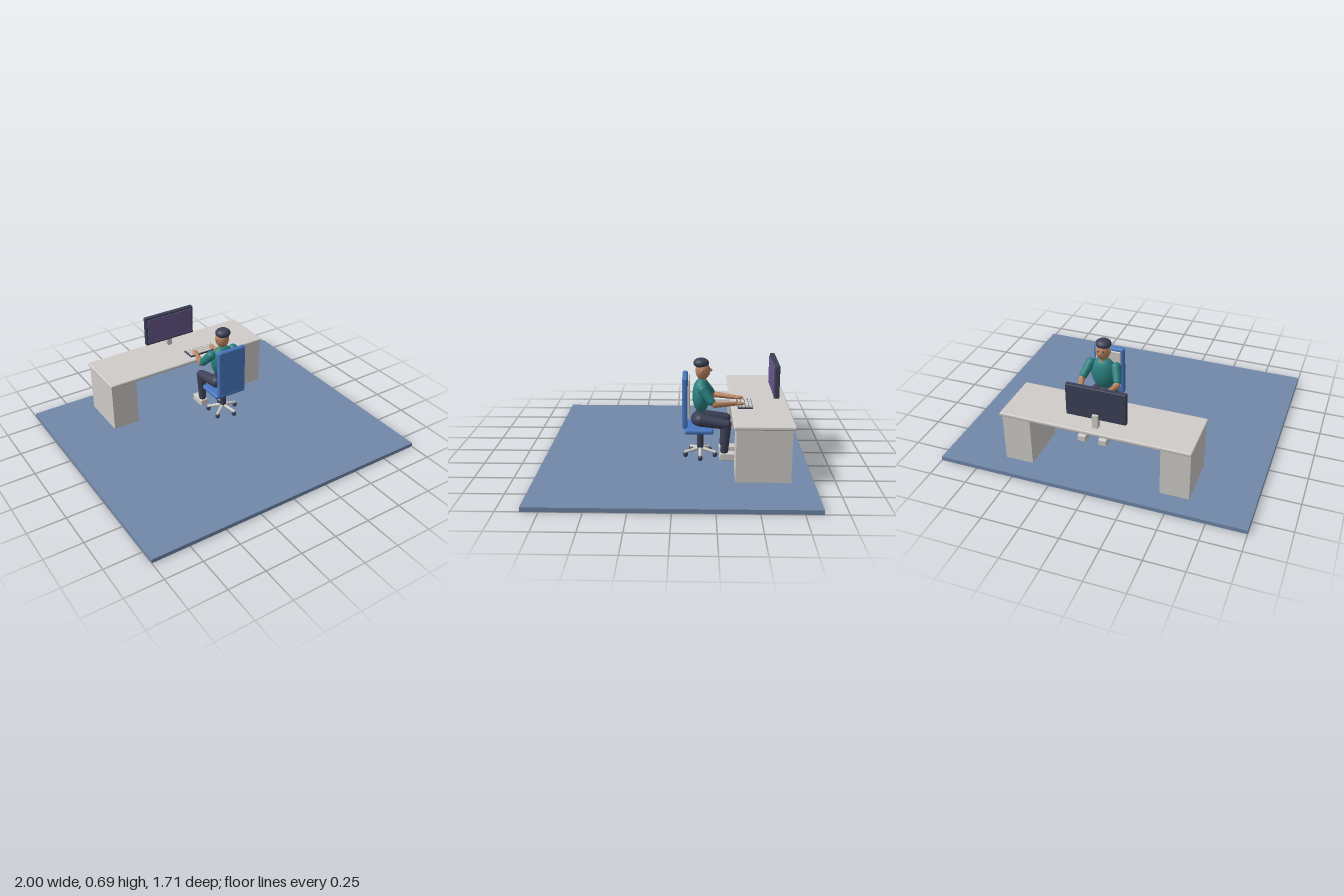
import * as THREE from 'three';
import { RoundedBoxGeometry } from 'three/addons/geometries/RoundedBoxGeometry.js';

const mat = (name, color) => {
  const m = new THREE.MeshStandardMaterial({ color });
  m.name = name;
  return m;
};

export function createModel() {
  const M = {
    floor: mat('slate blue floor', 0x7088a8),
    pale: mat('pale grey', 0xcfccc8),
    blue: mat('chair blue', 0x4777c0),
    dark: mat('dark navy', 0x3c4056),
    screen: mat('screen purple', 0x66568a),
    teal: mat('shirt teal', 0x28807f),
    skin: mat('skin', 0xb88562),
  };
  const V = (x, y, z) => new THREE.Vector3(x, y, z);
  const group = (name, parent) => {
    const g = new THREE.Group();
    g.name = name;
    if (parent) parent.add(g);
    return g;
  };
  const add = (parent, name, geo, material) => {
    const m = new THREE.Mesh(geo, material);
    m.name = name;
    parent.add(m);
    return m;
  };
  // box given by its min and max on each axis, optionally rounded
  const box = (parent, name, material, [x0, x1], [y0, y1], [z0, z1], r = 0) => {
    const s = [x1 - x0, y1 - y0, z1 - z0];
    const geo = r ? new RoundedBoxGeometry(...s, 3, r) : new THREE.BoxGeometry(...s);
    const m = add(parent, name, geo, material);
    m.position.set((x0 + x1) / 2, (y0 + y1) / 2, (z0 + z1) / 2);
    return m;
  };
  const ball = (parent, name, material, [x, y, z], [rx, ry, rz]) => {
    const m = add(parent, name, new THREE.SphereGeometry(1, 24, 16), material);
    m.position.set(x, y, z);
    m.scale.set(rx, ry, rz);
    return m;
  };
  // tapered limb with rounded ends
  const limb = (parent, name, material, a, b, ra, rb) => {
    const g = group(name, parent);
    const m = add(g, name + 'Shaft', new THREE.CylinderGeometry(rb, ra, a.distanceTo(b), 18), material);
    m.position.copy(a).lerp(b, 0.5);
    m.quaternion.setFromUnitVectors(V(0, 1, 0), b.clone().sub(a).normalize());
    ball(g, name + 'Start', material, a.toArray(), [ra, ra, ra]);
    ball(g, name + 'End', material, b.toArray(), [rb, rb, rb]);
  };

  const model = group('workstation');
  box(model, 'floor', M.floor, [-1, 1], [0, 0.027], [-0.857, 0.857]);

  // desk
  const desk = group('desk', model);
  box(desk, 'deskTop', M.pale, [-0.618, 0.615], [0.36, 0.385], [-0.737, -0.362], 0.009);
  box(desk, 'rightPedestal', M.pale, [-0.61, -0.424], [0.027, 0.361], [-0.716, -0.378]);
  box(desk, 'leftPedestal', M.pale, [0.42, 0.606], [0.027, 0.361], [-0.716, -0.378]);

  // monitor
  const monitor = group('monitor', model);
  box(monitor, 'casing', M.dark, [-0.195, 0.189], [0.437, 0.65], [-0.672, -0.64], 0.005);
  box(monitor, 'display', M.screen, [-0.181, 0.175], [0.452, 0.636], [-0.641, -0.634]);
  box(monitor, 'stand', M.pale, [-0.021, 0.015], [0.384, 0.475], [-0.69, -0.65]);

  // keyboard with rows of keys
  const keyboard = group('keyboard', model);
  box(keyboard, 'keyboardBase', M.dark, [0.03, 0.252], [0.384, 0.395], [-0.5, -0.405]);
  for (let r = 0; r < 4; r++)
    for (let c = 0; c < 7; c++) {
      const x = 0.035 + c * 0.0308, z = -0.496 + r * 0.0228;
      box(keyboard, 'key', M.pale, [x, x + 0.027], [0.394, 0.4], [z, z + 0.019]);
    }

  // swivel chair
  const chair = group('chair', model);
  const cx = 0.142, cz = -0.167;
  box(chair, 'seat', M.blue, [0.022, 0.264], [0.21, 0.243], [-0.25, -0.064], 0.014);
  box(chair, 'backrest', M.blue, [0.035, 0.249], [0.245, 0.583], [-0.083, -0.047], 0.014);
  box(chair, 'backPad', M.pale, [0.055, 0.229], [0.3, 0.565], [-0.096, -0.082], 0.006);
  limb(chair, 'column', M.dark, V(cx, 0.085, cz), V(cx, 0.2, cz), 0.022, 0.022);
  for (let i = 0; i < 5; i++) {
    const a = (i * Math.PI * 2) / 5, x = cx + 0.102 * Math.cos(a), z = cz + 0.102 * Math.sin(a);
    limb(chair, 'baseArm', M.pale, V(cx, 0.083, cz), V(x, 0.063, z), 0.012, 0.01);
    ball(chair, 'caster', M.dark, [x, 0.046, z], [0.016, 0.019, 0.016]);
  }

  // seated person, facing the desk
  const person = group('person', model);
  ball(person, 'torso', M.teal, [cx, 0.445, -0.17], [0.088, 0.115, 0.058]);
  ball(person, 'hips', M.dark, [cx, 0.285, -0.155], [0.088, 0.043, 0.052]);
  limb(person, 'neck', M.skin, V(cx, 0.53, -0.178), V(cx, 0.57, -0.178), 0.022, 0.022);
  ball(person, 'head', M.skin, [cx, 0.61, -0.178], [0.047, 0.062, 0.047]);
  ball(person, 'hair', M.dark, [cx, 0.66, -0.168], [0.052, 0.032, 0.051]);
  ball(person, 'nose', M.skin, [cx, 0.613, -0.228], [0.009, 0.011, 0.012]);
  box(person, 'mouth', M.dark, [cx - 0.012, cx + 0.012], [0.586, 0.589], [-0.224, -0.216]);

  for (const s of [-1, 1]) {
    const side = group(s > 0 ? 'leftSide' : 'rightSide', person);
    const x = (d) => cx + s * d;
    ball(side, 'ear', M.skin, [x(0.046), 0.615, -0.176], [0.008, 0.015, 0.011]);
    ball(side, 'eye', M.dark, [x(0.018), 0.625, -0.219], [0.006, 0.006, 0.005]);
    // arm
    limb(side, 'sleeve', M.teal, V(x(0.09), 0.505, -0.178), V(x(0.118), 0.437, -0.232), 0.033, 0.027);
    limb(side, 'elbow', M.skin, V(x(0.118), 0.437, -0.232), V(x(0.123), 0.415, -0.256), 0.022, 0.02);
    limb(side, 'forearm', M.skin, V(x(0.123), 0.415, -0.256), V(x(0.075), 0.411, -0.39), 0.02, 0.014);
    ball(side, 'hand', M.skin, [x(0.07), 0.41, -0.415], [0.018, 0.011, 0.033]);
    // leg
    limb(side, 'thigh', M.dark, V(x(0.055), 0.29, -0.165), V(x(0.073), 0.268, -0.335), 0.042, 0.033);
    limb(side, 'shin', M.dark, V(x(0.073), 0.268, -0.335), V(x(0.073), 0.09, -0.323), 0.032, 0.026);
    box(side, 'shoe', M.pale, [x(0.073) - 0.029, x(0.073) + 0.029], [0.027, 0.077], [-0.41, -0.292], 0.008);
  }
  return model;
}
